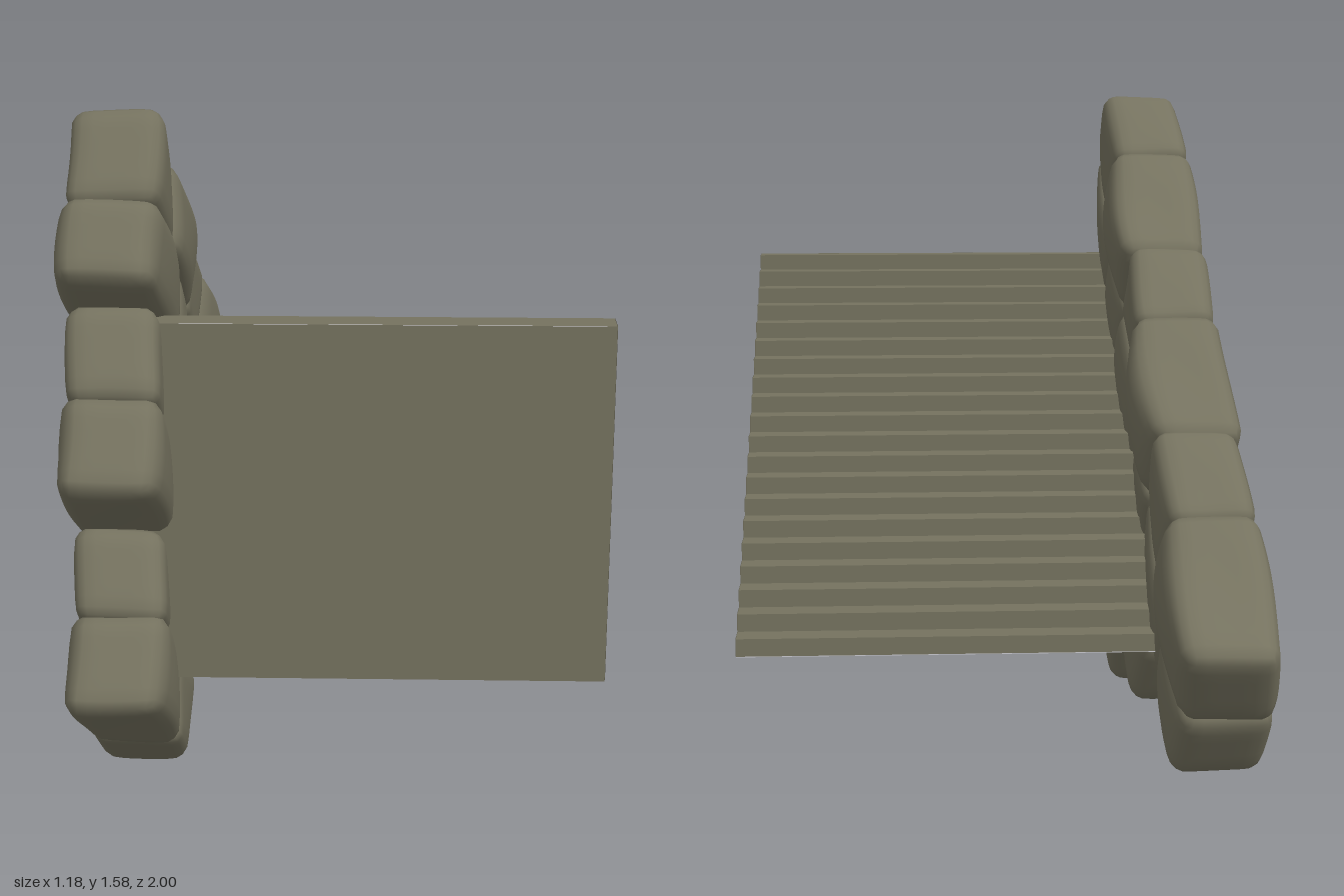
import * as THREE from 'three';
import { mergeVertices } from 'three/addons/utils/BufferGeometryUtils.js';

const stone = new THREE.MeshStandardMaterial({ color: 0x75725f, side: THREE.DoubleSide });
stone.name = 'weatheredStone';
const pale = new THREE.MeshStandardMaterial({ color: 0xcacad0, side: THREE.DoubleSide });
pale.name = 'paleGrey';

function add(parent, geometry, name, material = stone) {
  const mesh = new THREE.Mesh(geometry, material);
  mesh.name = name;
  parent.add(mesh);
  return mesh;
}

// Hewn block: a box with rounded edges, swollen sides and a slight wobble
function blockGeometry(len, high, deep, bulgeIn, bulgeOut, seed) {
  const g = new THREE.BoxGeometry(len, high, deep, 12, 8, 8);
  g.deleteAttribute('uv');
  g.deleteAttribute('normal');
  const p = g.attributes.position;
  const r = 0.038;
  const inner = new THREE.Vector3(len / 2 - r, high / 2 - r, deep / 2 - r);
  const outer = inner.clone().negate();
  const v = new THREE.Vector3(), core = new THREE.Vector3();
  for (let i = 0; i < p.count; i++) {
    v.fromBufferAttribute(p, i);
    core.copy(v).clamp(outer, inner);
    v.sub(core).normalize().multiplyScalar(r).add(core);
    const a = v.x / len * 2, b = v.y / high * 2;
    const swell = Math.max(0, 1 - a * a) * Math.max(0, 1 - 0.6 * b * b);
    v.z += swell * (v.z > 0 ? bulgeIn : -bulgeOut) * Math.abs(v.z) / (deep / 2);
    v.z += 0.006 * Math.sin(9 * v.x + 14 * v.y + seed * 2.3);
    v.y += 0.003 * Math.sin(12 * v.x + 17 * v.z + seed * 1.7);
    p.setXYZ(i, v.x, v.y, v.z);
  }
  const merged = mergeVertices(g, 1e-5);
  merged.computeVertexNormals();
  return merged;
}

// Side wall: pairs of sloping courses, each made of repeated four-block bays
function buildWall() {
  const wall = new THREE.Group();
  wall.name = 'slopingStoneWall';
  const s = 0.562, c = 0.827;
  wall.quaternion.setFromRotationMatrix(new THREE.Matrix4().makeBasis(
    new THREE.Vector3(0, -s, -c), new THREE.Vector3(0, c, -s), new THREE.Vector3(1, 0, 0)));
  wall.position.set(-0.455, 1.583, 0.676);

  const bay = 0.675, short = 0.27;
  // start along the slope, top, joint and bottom across it, number of bays
  const bands = [
    [0, 0, -0.2, -0.372, 3],
    [0.134, -0.388, -0.584, -0.78, 2],
    [0.408, -0.794, -0.98, -1.176, 1],
  ];
  let seed = 1;
  const block = (x0, x1, top, bottom, deep, bulgeIn, bulgeOut) => {
    const e = 0.01;
    const g = blockGeometry(x1 - x0 + e * 2, top - bottom + e * 2, deep, bulgeIn, bulgeOut, seed++);
    add(wall, g, 'wallBlock').position.set((x0 + x1) / 2, (top + bottom) / 2, 0);
  };
  for (const [start, top, joint, bottom, bays] of bands) {
    for (let i = 0; i < bays; i++) {
      const x = start + i * bay, end = x + bay;
      block(x, x + short, top, joint, 0.195, 0.004, 0.004);
      block(x + short, end, top, joint, 0.205, 0.028, 0.006);
      block(x, end - short, joint, bottom, 0.2, 0.012, 0.026);
      block(end - short, end, joint, bottom, 0.2, 0.01, 0.008);
    }
  }
  return wall;
}

// Staircase: stepped shell, open below, with a front wall and a right side
function buildStairs() {
  const stairs = new THREE.Group();
  stairs.name = 'staircase';
  const x0 = -0.42, x1 = 0.59, base = 0.35, top = 1.15, front = 0.76, back = -0.58;
  const steps = 20, run = (front - back) / steps, rise = (top - base) / steps;
  const width = x1 - x0, mid = (x0 + x1) / 2;
  const treadGeometry = new THREE.PlaneGeometry(width, run).rotateX(-Math.PI / 2);
  const riserGeometry = new THREE.PlaneGeometry(width, rise).rotateY(Math.PI);

  const profile = new THREE.Shape();
  profile.moveTo(-front, base);
  profile.lineTo(-back, base);
  for (let i = 0; i < steps; i++) {
    const z = back + i * run, y = base + (i + 1) * rise;
    profile.lineTo(-z, y);
    profile.lineTo(-z - run, y);
    add(stairs, treadGeometry, 'tread').position.set(mid, y, z + run / 2);
    add(stairs, riserGeometry, 'riser').position.set(mid, y - rise / 2, z);

    // Pale lining just beneath and behind each step
    const lining = 0.002;
    add(stairs, treadGeometry, 'treadUnderside', pale).position.set(mid, y - lining, z + run / 2 + lining);
    add(stairs, riserGeometry, 'riserBack', pale).position.set(mid, y - rise / 2 - lining, z + lining);
  }
  const side = add(stairs, new THREE.ShapeGeometry(profile), 'stairSide');
  side.rotation.y = Math.PI / 2;
  side.position.x = x1 + 0.001;

  // The front wall stands just clear of the lining
  const wall = add(stairs, new THREE.PlaneGeometry(width, top - base), 'frontWall');
  wall.position.set(mid, (top + base) / 2, front + 0.003);
  return stairs;
}

export function createModel() {
  const model = new THREE.Group();
  model.name = 'stoneStairway';
  model.add(buildStairs(), buildWall());
  return model;
}
